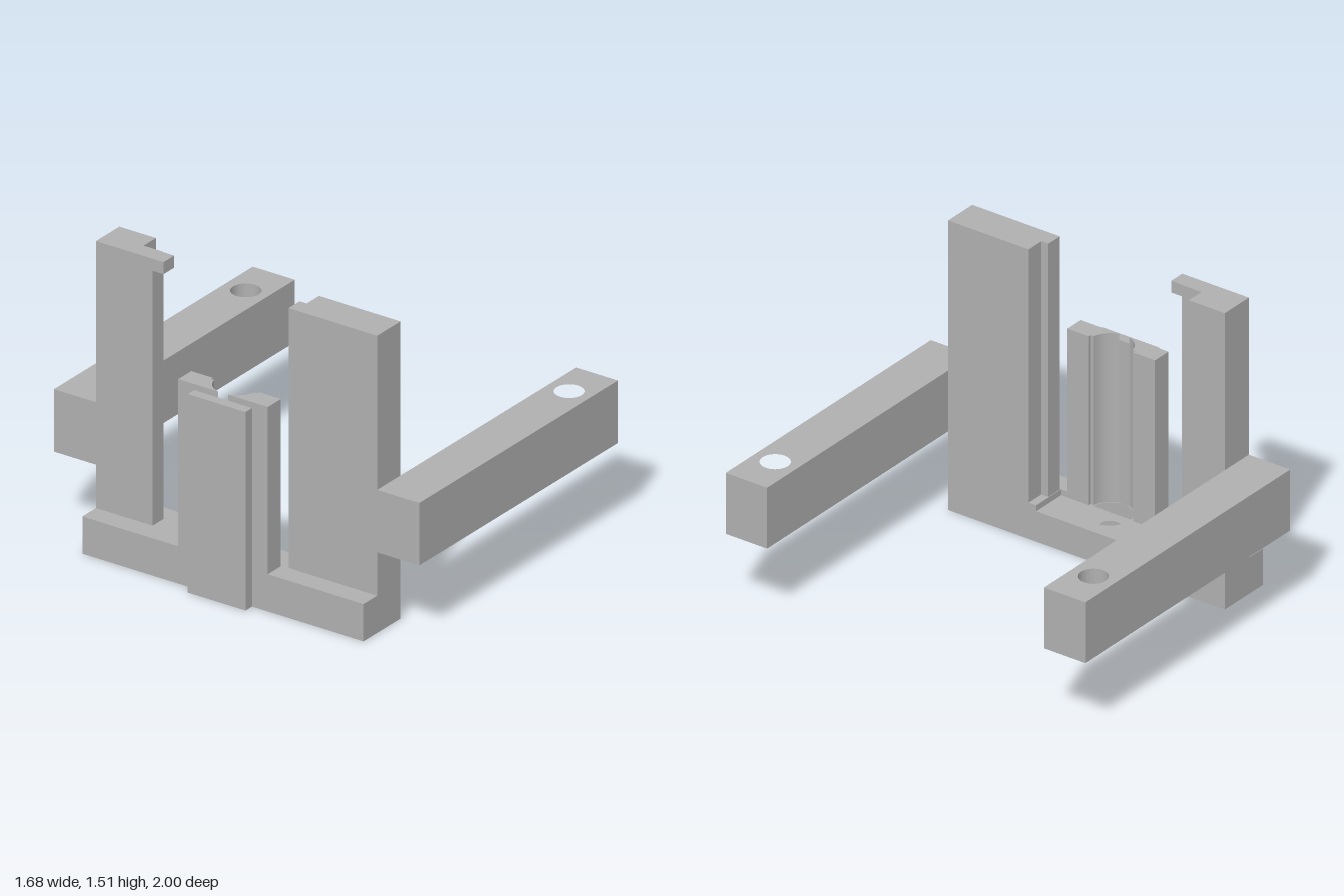
import * as THREE from 'three';

export function createModel() {
  const model = new THREE.Group();
  model.name = 'bracket';
  const grey = new THREE.MeshStandardMaterial({ color: 0xb0b0b0 });
  grey.name = 'plain grey';

  // Upright prism from a plan outline of [x, z] points, with round holes [x, z, r]
  function prism(name, points, y0, y1, holes = []) {
    const shape = new THREE.Shape(points.map(([x, z]) => new THREE.Vector2(x, -z)));
    for (const [x, z, r] of holes) {
      const hole = new THREE.Path();
      hole.absarc(x, -z, r, 0, Math.PI * 2, true);
      shape.holes.push(hole);
    }
    const geo = new THREE.ExtrudeGeometry(shape, { depth: y1 - y0, bevelEnabled: false, curveSegments: 24 });
    geo.rotateX(-Math.PI / 2).translate(0, y0, 0);
    const mesh = new THREE.Mesh(geo, grey);
    mesh.name = name;
    model.add(mesh);
  }
  const rect = (x0, x1, z0, z1) => [[x0, z0], [x1, z0], [x1, z1], [x0, z1]];

  const back = -0.795, front = -0.51, step = -0.695;
  const boreX = -0.687, boreR = 0.1115;

  // Base: small through hole, then a wider bore
  prism('baseBottom', rect(back, front, -0.77, 0.77), 0, 0.09, [[boreX, 0, 0.055]]);
  prism('baseMiddle', rect(back, front, -0.77, 0.77), 0.09, 0.155, [[boreX, 0, 0.107]]);

  // Curved wall of the channel, from the back slit to the front lip
  function channelWall(side) {
    const a0 = Math.atan2(0.028, back - boreX), a1 = Math.atan2(0.109, -0.023);
    const pts = [];
    for (let i = 0; i <= 16; i++) {
      const a = a0 + (a1 - a0) * i / 16;
      pts.push([boreX + boreR * Math.cos(a), side * boreR * Math.sin(a)]);
    }
    pts.push([-0.71, side * 0.125], [step, side * 0.125]);
    return pts;
  }

  for (const side of [1, -1]) {
    const wall = channelWall(side);
    // Raised base rim around the front recess
    prism('baseRim', [...wall, [step, side * 0.28], [front, side * 0.28],
      [front, side * 0.77], [back, side * 0.77]], 0.155, 0.185);
    // Half of the channelled column
    prism('columnHalf', [...wall, [step, side * 0.245], [back, side * 0.245]], 0.185, 1.015);
    // Side arm with a screw hole
    prism('arm', rect(-0.69, 0.84, side * 0.77, side * 1.0), 0.4, 0.71, [[0.625, side * 0.885, 0.07]]);
  }

  // Rib closing the back of the channel
  prism('backRib', rect(-0.845, back, -0.158, 0.158), 0, 0.985);

  // Stepped posts
  prism('widePost', [[-0.69, 0.283], [-0.605, 0.283], [-0.605, 0.322],
    [front, 0.322], [front, 0.77], [-0.69, 0.77]], 0.185, 1.475);
  prism('tallPost', [[-0.69, -0.77], [front, -0.77], [front, -0.57],
    [-0.605, -0.57], [-0.605, -0.46], [-0.69, -0.46]], 0.185, 1.51);

  // Catch at the top of the tall post
  prism('catch', rect(-0.69, -0.608, -0.46, -0.4), 1.45, 1.51);

  return model;
}
